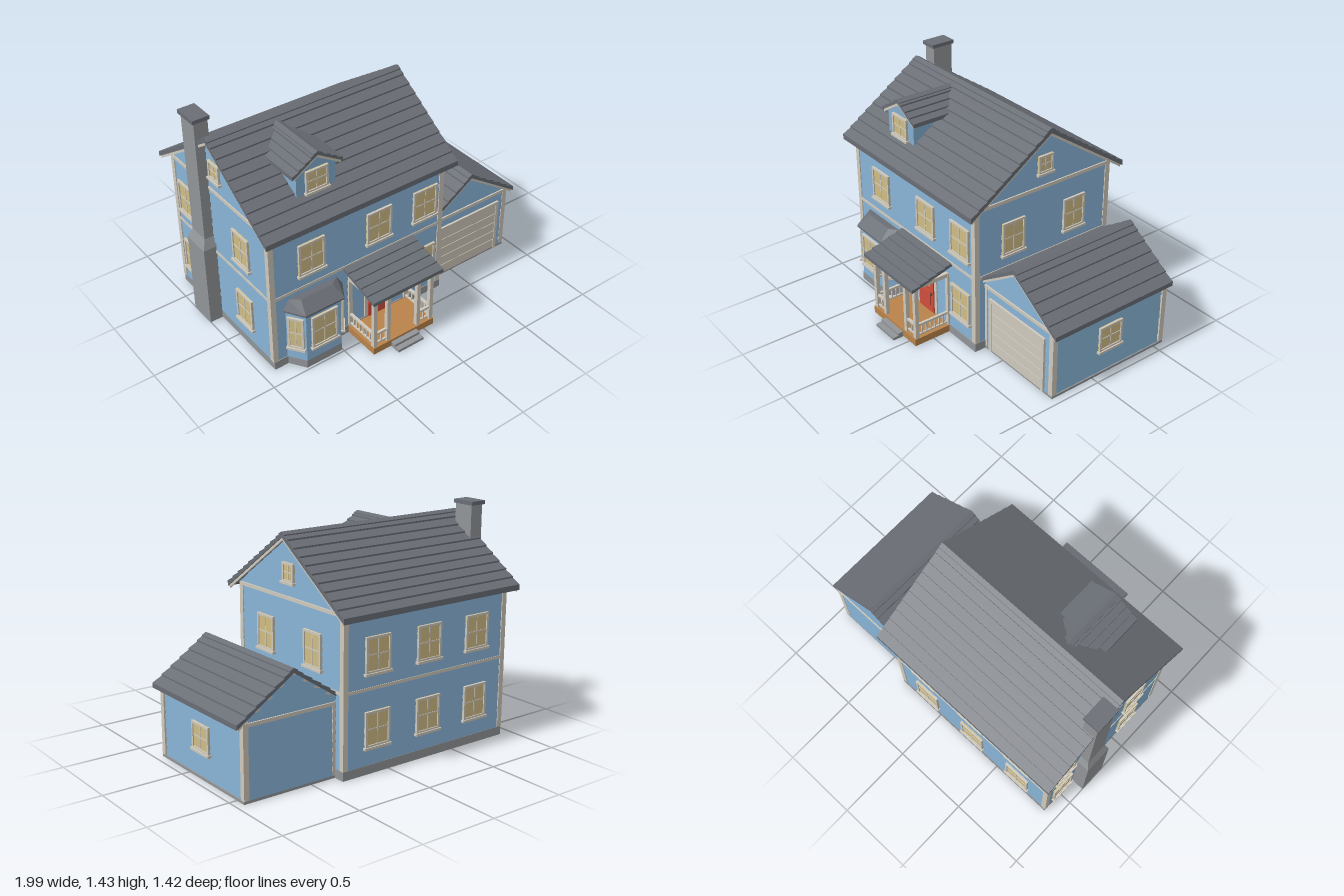
import * as THREE from 'three';
import { ConvexGeometry } from 'three/addons/geometries/ConvexGeometry.js';

const mat = (name, color) => Object.assign(new THREE.MeshStandardMaterial({ color }), { name });
const M = {
  siding: mat('blue siding', 0x84aed0), trim: mat('cream trim', 0xd0cabd),
  roof: mat('slate roof', 0x6a6e75), stone: mat('grey stone', 0x929598),
  glass: mat('warm window', 0xd0bd85), red: mat('red door', 0xd04f3d),
  wood: mat('porch wood', 0xb9834a), metal: mat('dark metal', 0x4a4036),
};
const CZ = -0.133; // ridge line of the house

function add(parent, name, geo, m, x = 0, y = 0, z = 0, ry = 0) {
  const o = new THREE.Mesh(geo, m);
  o.name = name;
  o.position.set(x, y, z);
  o.rotation.y = ry;
  parent.add(o);
  return o;
}
// box given by its min and max on each axis
function box(parent, name, m, x0, x1, y0, y1, z0, z1) {
  return add(parent, name, new THREE.BoxGeometry(x1 - x0, y1 - y0, z1 - z0), m,
    (x0 + x1) / 2, (y0 + y1) / 2, (z0 + z1) / 2);
}
function group(parent, name, x = 0, y = 0, z = 0, ry = 0) {
  const g = new THREE.Group();
  g.name = name;
  g.position.set(x, y, z);
  g.rotation.y = ry;
  parent.add(g);
  return g;
}
// outline extruded along z, centred
function extrude(pts, len) {
  const g = new THREE.ExtrudeGeometry(new THREE.Shape(pts.map(p => new THREE.Vector2(...p))),
    { depth: len, bevelEnabled: false });
  return g.translate(0, 0, -len / 2);
}
// stepped shingle line from the ridge down to the eave
function courses(x0, y0, x1, y1, n, step) {
  const pts = [];
  for (let i = 0; i < n; i++) {
    const a = i / n, b = (i + 1) / n;
    pts.push([x0 + (x1 - x0) * a, y0 + (y1 - y0) * a]);
    pts.push([x0 + (x1 - x0) * b, y0 + (y1 - y0) * b + step]);
  }
  pts.push([x1, y1]);
  return pts;
}
const mirror = pts => pts.map(([x, y]) => [-x, y]).reverse();

// gable roof with its ridge along z, plus ridge cap and rake boards
function gableRoof(parent, name, half, top, drop, len, n, thick) {
  const side = courses(0, top, half, top - drop, n, 0.01);
  const under = [[half, top - drop - thick], [0, top - thick], [-half, top - drop - thick]];
  add(parent, name, extrude([...mirror(side), ...side.slice(1), ...under], len), M.roof);
  const s = drop / half, c = 0.028;
  add(parent, name + 'RidgeCap', extrude([[-c, top - s * c + 0.012], [0, top + 0.008], [c, top - s * c + 0.012],
    [c, top - s * c - 0.01], [0, top - 0.01], [-c, top - s * c - 0.01]], len), M.roof);
  const t = top - thick, h = half - 0.012, e = t - s * h;
  for (const k of [-1, 1])
    add(parent, name + 'RakeBoard', extrude([[-h, e], [0, t], [h, e], [h, e - 0.018], [0, t - 0.018],
      [-h, e - 0.018]], 0.012), M.trim, 0, 0, k * (len / 2 - 0.012));
}
// lapped boards facing +z; hw(y) is the half width at height y
function siding(parent, hw, y0, y1, x, z, ry = 0) {
  const n = Math.max(1, Math.round((y1 - y0) / 0.058)), d = 0.007, v = [];
  const quad = (a, b, c, e) => v.push(...a, ...b, ...c, ...a, ...c, ...e);
  for (let i = 0; i < n; i++) {
    const a = y0 + (y1 - y0) * i / n, b = y0 + (y1 - y0) * (i + 1) / n, p = hw(a), q = hw(b);
    quad([-p, a, d], [p, a, d], [q, b, 0.001], [-q, b, 0.001]);
    quad([-p, a, 0], [p, a, 0], [p, a, d], [-p, a, d]);
  }
  const g = new THREE.BufferGeometry();
  g.setAttribute('position', new THREE.Float32BufferAttribute(v, 3));
  g.computeVertexNormals();
  add(parent, 'sidingBoards', g, M.siding, x, 0, z, ry);
}
// four-pane window facing +z
function windowUnit(parent, w, h, x, y, z, ry = 0) {
  const g = group(parent, 'window', x, y, z, ry), f = 0.014, W = w / 2, H = h / 2;
  box(g, 'glass', M.glass, -W, W, -H, H, 0.002, 0.009);
  for (const k of [-1, 1]) {
    box(g, 'frameSide', M.trim, k * (W - f / 2) - f / 2, k * (W - f / 2) + f / 2, -H, H, 0, 0.016);
    box(g, 'frameRail', M.trim, -W, W, k * (H - f / 2) - f / 2, k * (H - f / 2) + f / 2, 0, 0.016);
  }
  box(g, 'mullion', M.trim, -0.004, 0.004, -H, H, 0.004, 0.012);
  box(g, 'crossBar', M.trim, -W, W, -0.004, 0.004, 0.004, 0.012);
  box(g, 'sill', M.trim, -W - 0.008, W + 0.008, -H - 0.012, -H + 0.003, 0, 0.024);
}
// railing along local x
function railing(parent, len, x, z, ry = 0) {
  const g = group(parent, 'railing', x, 0, z, ry), n = Math.max(2, Math.round(len / 0.032));
  box(g, 'topRail', M.trim, -len / 2, len / 2, 0.132, 0.146, -0.008, 0.008);
  box(g, 'bottomRail', M.trim, -len / 2, len / 2, 0.064, 0.074, -0.006, 0.006);
  for (let i = 1; i < n; i++) {
    const p = -len / 2 + len * i / n;
    box(g, 'baluster', M.trim, p - 0.004, p + 0.004, 0.07, 0.135, -0.004, 0.004);
  }
}
const hull = pts => new ConvexGeometry(pts.map(p => new THREE.Vector3(...p)));

function house(root) {
  const g = group(root, 'house');
  const X0 = -0.91, X1 = 0.325, cx = (X0 + X1) / 2, hx = (X1 - X0) / 2, hz = 0.505, R = Math.PI / 2;
  box(g, 'foundation', M.stone, -0.915, 0.335, 0, 0.055, -0.647, 0.385);
  const core = extrude([[-hz, 0.02], [hz, 0.02], [hz, 0.98], [0, 1.325], [-hz, 0.98]], hx * 2).rotateY(-R);
  add(g, 'walls', core, M.siding, cx, 0, CZ);
  const gab = y => Math.max(0, Math.min(hz, (1.325 - y) / 0.677));
  for (const k of [-1, 1]) {
    siding(g, () => hx, 0.055, 0.975, cx, CZ + k * hz, k > 0 ? 0 : Math.PI);
    siding(g, gab, 0.055, 0.977, k > 0 ? X1 : X0, CZ, k * R);
    siding(g, gab, 0.977, 1.322, k > 0 ? X1 : X0, CZ, k * R);
    for (const j of [-1, 1]) {
      const x = k > 0 ? 0.318 : -0.903, z = CZ + j * 0.498;
      box(g, 'cornerBoard', M.trim, x - 0.017, x + 0.017, 0.055, 0.965, z - 0.017, z + 0.017);
    }
    // windows on front, back and the two ends
    windowUnit(g, 0.11, 0.115, k > 0 ? X1 + 0.004 : X0 - 0.004, 1.115, CZ, k * R);
  }
  box(g, 'floorBand', M.trim, X0 - 0.01, X1 + 0.01, 0.503, 0.522, CZ - hz - 0.01, CZ + hz + 0.01);
  box(g, 'eaveBand', M.trim, X0 - 0.01, X1 + 0.01, 0.95, 0.972, CZ - hz - 0.01, CZ + hz + 0.01);
  const zf = CZ + hz + 0.004, zb = CZ - hz - 0.004;
  for (const x of [-0.635, -0.155, 0.19]) windowUnit(g, 0.18, 0.215, x, 0.712, zf);
  windowUnit(g, 0.18, 0.215, 0.19, 0.272, zf);
  for (const y of [0.712, 0.272]) {
    for (const x of [0.09, -0.295, -0.675]) windowUnit(g, 0.18, 0.215, x, y, zb, Math.PI);
    for (const z of [0.1, -0.5]) windowUnit(g, 0.165, 0.215, X0 - 0.004, y, z, -R);
  }
  for (const z of [0.1, -0.365]) windowUnit(g, 0.165, 0.215, X1 + 0.004, 0.712, z, R);
  gableRoof(group(g, 'mainRoof', -0.291, 0, CZ, R), 'roof', 0.576, 1.35, 0.39, 1.346, 10, 0.025);

  // dormer
  const d = group(g, 'dormer', -0.525, 0, 0);
  add(d, 'dormerWalls', extrude([[-0.133, 1.03], [0.133, 1.03], [0.133, 1.225], [0, 1.305], [-0.133, 1.225]], 0.35),
    M.siding, 0, 0, 0.113);
  windowUnit(d, 0.15, 0.14, 0, 1.145, 0.288);
  gableRoof(group(d, 'dormerRoof', 0, 0, 0.11), 'roof', 0.17, 1.322, 0.104, 0.4, 4, 0.016);

  // chimney
  const c = group(g, 'chimney', 0, 0, -0.288);
  box(c, 'chimneyBase', M.stone, -1, -0.9, 0, 0.55, -0.093, 0.093);
  const ring = (x, y, w) => [[x, y, -w], [x, y, w], [-0.89, y, -w], [-0.89, y, w]];
  add(c, 'chimneyShoulder', hull([...ring(-1, 0.55, 0.093), ...ring(-0.975, 0.615, 0.069)]), M.stone);
  box(c, 'chimneyStack', M.stone, -0.975, -0.885, 0.6, 1.412, -0.069, 0.069);
  box(c, 'chimneyCap', M.roof, -0.988, -0.878, 1.41, 1.434, -0.081, 0.081);
}

function bayWindow(root) {
  const g = group(root, 'bayWindow', -0.63, 0, 0);
  const prism = (y0, y1, o) => hull([y0, y1].flatMap(y => [-1, 1].flatMap(k =>
    [[k * (0.19 + o), y, 0.36], [k * (0.19 + o), y, 0.378], [k * (0.12 + o), y, 0.478 + o]])));
  add(g, 'bayFoundation', prism(0, 0.055, 0.006), M.stone);
  add(g, 'bayWalls', prism(0.05, 0.42, 0), M.siding);
  siding(g, () => 0.12, 0.055, 0.405, 0, 0.478);
  windowUnit(g, 0.18, 0.225, 0, 0.255, 0.482);
  for (const k of [-1, 1]) {
    const a = k * Math.atan2(0.1, 0.07);
    siding(g, () => 0.061, 0.055, 0.405, k * 0.155, 0.428, a);
    windowUnit(g, 0.1, 0.225, k * 0.158, 0.255, 0.43, a);
  }
  add(g, 'bayRoof', hull([-1, 1].flatMap(k => [
    [k * 0.205, 0.4, 0.365], [k * 0.205, 0.4, 0.385], [k * 0.135, 0.4, 0.5],
    [k * 0.205, 0.412, 0.365], [k * 0.205, 0.412, 0.385], [k * 0.135, 0.412, 0.5],
    [k * 0.168, 0.472, 0.365], [k * 0.168, 0.472, 0.378], [k * 0.11, 0.472, 0.42]])), M.roof);
}

function porch(root) {
  const g = group(root, 'porch');
  box(g, 'porchFloor', M.wood, -0.383, 0.072, 0.004, 0.05, 0.37, 0.637);
  box(g, 'lowerStep', M.stone, -0.253, -0.063, 0, 0.018, 0.63, 0.708);
  box(g, 'upperStep', M.stone, -0.253, -0.063, 0.018, 0.035, 0.63, 0.672);
  const posts = [-0.367, -0.268, -0.043, 0.056];
  for (const x of posts) box(g, 'porchPost', M.trim, x - 0.013, x + 0.013, 0.05, 0.412, 0.604, 0.63);
  box(g, 'frontBeam', M.trim, -0.383, 0.072, 0.398, 0.426, 0.602, 0.632);
  for (const x of [posts[0], posts[3]]) {
    box(g, 'sideBeam', M.trim, x - 0.012, x + 0.012, 0.4, 0.426, 0.38, 0.61);
    box(g, 'wallPost', M.trim, x - 0.013, x + 0.013, 0.05, 0.42, 0.37, 0.39);
    railing(g, 0.22, x, 0.497, Math.PI / 2);
  }
  for (const x of [-0.3175, 0.0065]) railing(g, 0.075, x, 0.617);
  const top = courses(0.372, 0.515, 0.67, 0.43, 5, 0.009);
  add(g, 'porchRoof', extrude([...top, [0.67, 0.415], [0.372, 0.497]], 0.52).rotateY(-Math.PI / 2), M.roof, -0.155);

  // front door
  const d = group(g, 'frontDoor', -0.159, 0, 0.378);
  box(d, 'doorFrame', M.trim, -0.1, 0.1, 0.05, 0.37, -0.006, 0.006);
  box(d, 'doorLeaf', M.red, -0.076, 0.076, 0.052, 0.346, 0, 0.014);
  box(d, 'doorGlass', M.glass, -0.046, 0.046, 0.238, 0.325, 0.012, 0.018);
  box(d, 'doorPanel', M.red, -0.048, 0.048, 0.1, 0.205, 0.01, 0.02);
  add(d, 'doorKnob', new THREE.SphereGeometry(0.008, 10, 8), M.metal, 0.062, 0.19, 0.02);
}

function garage(root) {
  const g = group(root, 'garage', 0.617, 0, CZ), hw = 0.318, hz = 0.433, xl = -0.285;
  box(g, 'garageFoundation', M.stone, xl, 0.333, 0, 0.016, -0.44, 0.44);
  add(g, 'garageWalls', extrude([[xl - 0.02, 0.01], [hw, 0.01], [hw, 0.472], [0, 0.685], [xl - 0.02, 0.494]], hz * 2),
    M.siding);
  const gab = y => Math.max(0, Math.min(hw, (0.685 - y) / 0.67));
  for (const k of [-1, 1]) {
    siding(g, gab, 0.016, 0.47, 0, k * hz, k > 0 ? 0 : Math.PI);
    siding(g, gab, 0.47, 0.683, 0, k * hz, k > 0 ? 0 : Math.PI);
    box(g, 'gableBand', M.trim, xl, 0.33, 0.437, 0.458, k * 0.435 - 0.009, k * 0.435 + 0.009);
    box(g, 'cornerBoard', M.trim, 0.299, 0.333, 0.016, 0.462, k * 0.424 - 0.017, k * 0.424 + 0.017);
    box(g, 'wallBoard', M.trim, xl, -0.265, 0.016, 0.45, k * 0.433 - 0.008, k * 0.433 + 0.008);
  }
  siding(g, () => hz, 0.016, 0.47, hw, 0, Math.PI / 2);
  windowUnit(g, 0.175, 0.165, hw + 0.004, 0.25, 0, Math.PI / 2);
  gableRoof(group(g, 'garageRoof', 0, 0, 0.009), 'roof', 0.373, 0.7, 0.248, 0.902, 6, 0.02);

  // sectional door
  const d = group(g, 'garageDoor', 0.012, 0, hz);
  for (const k of [-1, 1])
    box(d, 'doorJamb', M.trim, k * 0.24 - 0.011, k * 0.24 + 0.011, 0.014, 0.382, 0, 0.018);
  box(d, 'doorHead', M.trim, -0.251, 0.251, 0.362, 0.384, 0, 0.018);
  box(d, 'doorBacking', M.trim, -0.235, 0.235, 0.016, 0.365, 0, 0.008);
  for (let i = 0; i < 5; i++)
    box(d, 'doorPanel', M.trim, -0.229, 0.229, 0.018 + i * 0.069, 0.083 + i * 0.069, 0.004, 0.014);
}

export function createModel() {
  const root = new THREE.Group();
  root.name = 'suburbanHouse';
  house(root);
  bayWindow(root);
  porch(root);
  garage(root);
  return root;
}
